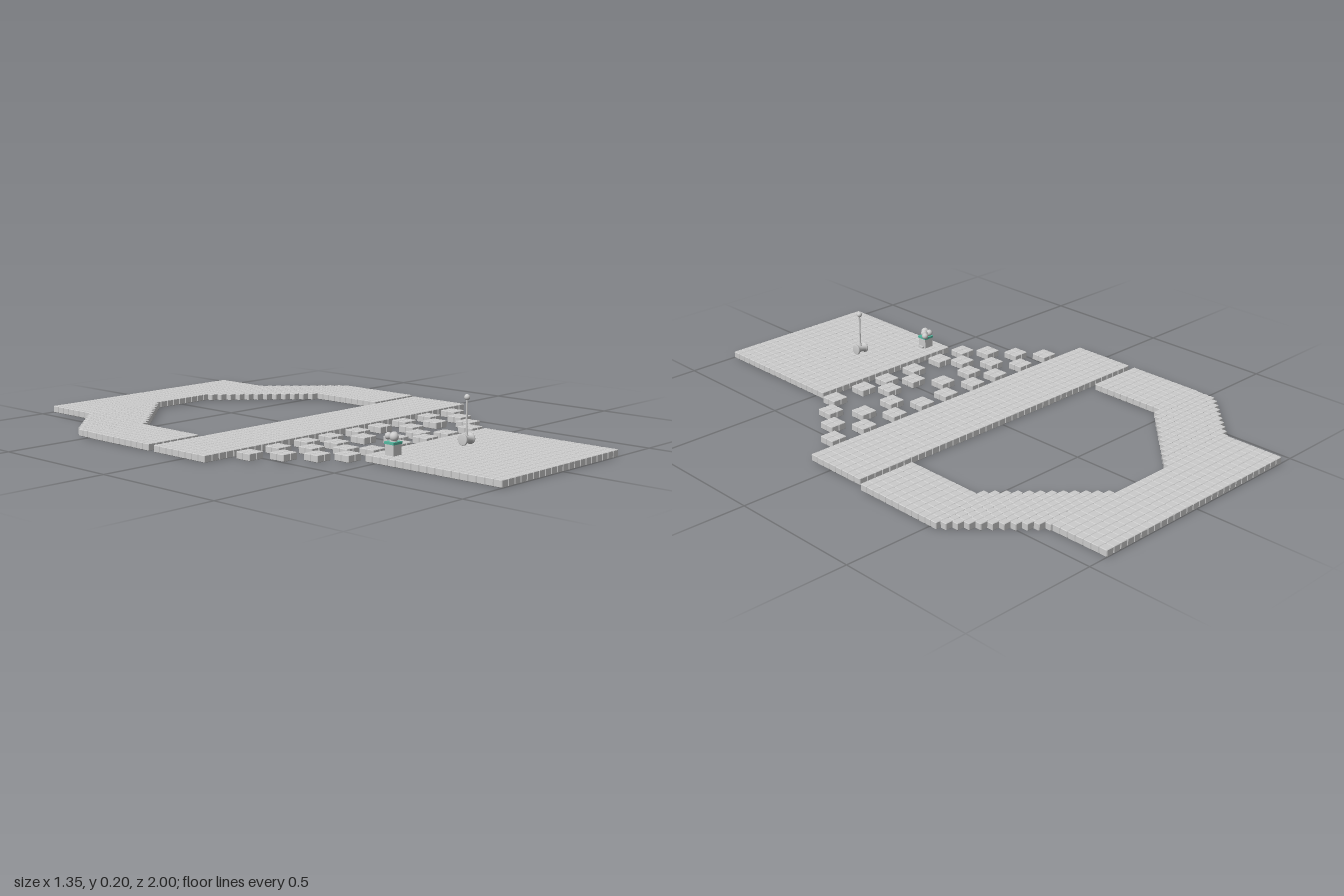
import * as THREE from 'three';
import { mergeGeometries } from 'three/addons/utils/BufferGeometryUtils.js';

const grey = new THREE.MeshStandardMaterial({ color: 0xcccccc });
const stone = new THREE.MeshStandardMaterial({ color: 0xcccccc, flatShading: true });
const teal = new THREE.MeshStandardMaterial({ color: 0x55b8a0 });
const H = 0.024, CELL = 0.0315, BEVEL = 0.0016;

// One paving block with chamfered top and bottom edges, standing on y = 0
function block(w, d) {
  const a = w / 2 - BEVEL, b = d / 2 - BEVEL, c = BEVEL;
  const s = new THREE.Shape([[-a + c, -b], [a - c, -b], [a, -b + c], [a, b - c],
    [a - c, b], [-a + c, b], [-a, b - c], [-a, -b + c]].map(p => new THREE.Vector2(...p)));
  const g = new THREE.ExtrudeGeometry(s, { depth: H - 2 * BEVEL, bevelEnabled: true,
    bevelThickness: BEVEL, bevelSize: BEVEL, bevelSegments: 1 });
  return g.translate(0, 0, BEVEL).rotateX(-Math.PI / 2);
}

// Blocks filling a rectangle
function pave(x0, x1, z0, z1) {
  const nx = Math.max(1, Math.round((x1 - x0) / CELL));
  const nz = Math.max(1, Math.round((z1 - z0) / CELL));
  const w = (x1 - x0) / nx, d = (z1 - z0) / nz, base = block(w, d), out = [];
  for (let i = 0; i < nx; i++)
    for (let j = 0; j < nz; j++)
      out.push(base.clone().translate(x0 + (i + 0.5) * w, 0, z0 + (j + 0.5) * d));
  return out;
}

function add(parent, name, geometry, material, x = 0, y = 0, z = 0) {
  const m = new THREE.Mesh(geometry, material);
  m.name = name;
  m.position.set(x, y, z);
  parent.add(m);
  return m;
}

export function createModel() {
  const model = new THREE.Group();
  model.name = 'pavedCourse';

  // Rectangular platforms
  const platforms = {
    backPlatform: [-0.45, 0.425, -1, -0.78],
    rightArm: [-0.675, -0.453, -0.48, -0.175],
    leftArm: [0.45, 0.672, -0.48, -0.175],
    middlePlatform: [-0.675, 0.652, -0.15, 0.1],
    frontPlatform: [-0.313, 0.313, 0.458, 1],
  };
  for (const [name, r] of Object.entries(platforms))
    add(model, name, mergeGeometries(pave(...r)), stone);

  // Diagonal walks, each row shifted sideways from the last
  const rows = 12, step = 0.3 / rows;
  for (const side of [-1, 1]) {
    const parts = [];
    for (let i = 0; i < rows; i++) {
      const z = -0.78 + i * step, t = i / (rows - 1);
      const inner = 0.135 + 0.285 * t;
      const outer = Math.min(0.672, (side < 0 ? 0.455 : 0.43) + i * step);
      const [a, b] = side < 0 ? [-outer, -inner] : [inner, outer];
      parts.push(...pave(a, b, z, z + step));
    }
    add(model, side < 0 ? 'rightDiagonalWalk' : 'leftDiagonalWalk', mergeGeometries(parts), stone);
  }

  // Stepping stones of two by two blocks
  const stones = [
    [0.155, [-0.53, -0.4, -0.265, -0.148, -0.013, 0.104, 0.235, 0.375, 0.512]],
    [0.242, [-0.463, -0.332, -0.213, -0.08, 0.172, 0.302, 0.442]],
    [0.33, [-0.398, -0.263, -0.013, 0.104, 0.38]],
    [0.402, [-0.332, -0.213, -0.08, 0.055, 0.167, 0.302]],
  ];
  const steppingStones = new THREE.Group();
  steppingStones.name = 'steppingStones';
  const slab = mergeGeometries(pave(-CELL, CELL, -CELL, CELL));
  for (const [z, xs] of stones)
    for (const x of xs) add(steppingStones, 'steppingStone', slab, stone, x, 0, z);
  model.add(steppingStones);

  // Upright mallet hovering over the front platform
  const mallet = new THREE.Group();
  mallet.name = 'mallet';
  mallet.position.set(-0.011, 0.054, 0.63);
  const profile = [[0, -0.024], [0.017, -0.024], [0.019, -0.022], [0.019, -0.017], [0.014, -0.014],
    [0.013, 0], [0.014, 0.014], [0.019, 0.017], [0.019, 0.022], [0.017, 0.024], [0, 0.024]];
  add(mallet, 'malletHead', new THREE.LatheGeometry(profile.map(p => new THREE.Vector2(...p)), 24), grey)
    .rotation.z = Math.PI / 2;
  add(mallet, 'malletCollar', new THREE.CylinderGeometry(0.004, 0.006, 0.012, 16), grey, 0, 0.017, 0);
  add(mallet, 'malletShaft', new THREE.CylinderGeometry(0.003, 0.003, 0.13, 12), grey, 0, 0.075, 0);
  add(mallet, 'malletKnob', new THREE.SphereGeometry(0.01, 16, 12), grey, 0, 0.138, 0);
  model.add(mallet);

  // Small figure: boxy body, teal band and a cluster of rounded forms on top
  const figure = new THREE.Group();
  figure.name = 'figure';
  figure.position.set(-0.255, H, 0.527);
  add(figure, 'body', new THREE.BoxGeometry(0.038, 0.036, 0.036), grey, 0, 0.018, 0);
  add(figure, 'foot', new THREE.BoxGeometry(0.012, 0.006, 0.022), grey, 0.022, 0.003, 0);
  add(figure, 'band', new THREE.BoxGeometry(0.042, 0.008, 0.04), teal, 0, 0.04, 0);
  add(figure, 'neck', new THREE.CylinderGeometry(0.011, 0.013, 0.012, 16), grey, 0, 0.048, 0);
  const ball = new THREE.SphereGeometry(1, 20, 14);
  for (const [name, x, y, z, r] of [['head', -0.001, 0.059, 0.004, 0.015],
    ['sideLobe', 0.014, 0.06, -0.008, 0.013], ['snout', 0.021, 0.053, -0.02, 0.012],
    ['backLobe', -0.003, 0.06, -0.018, 0.012]])
    add(figure, name, ball, grey, x, y, z).scale.setScalar(r);
  model.add(figure);

  return model;
}
